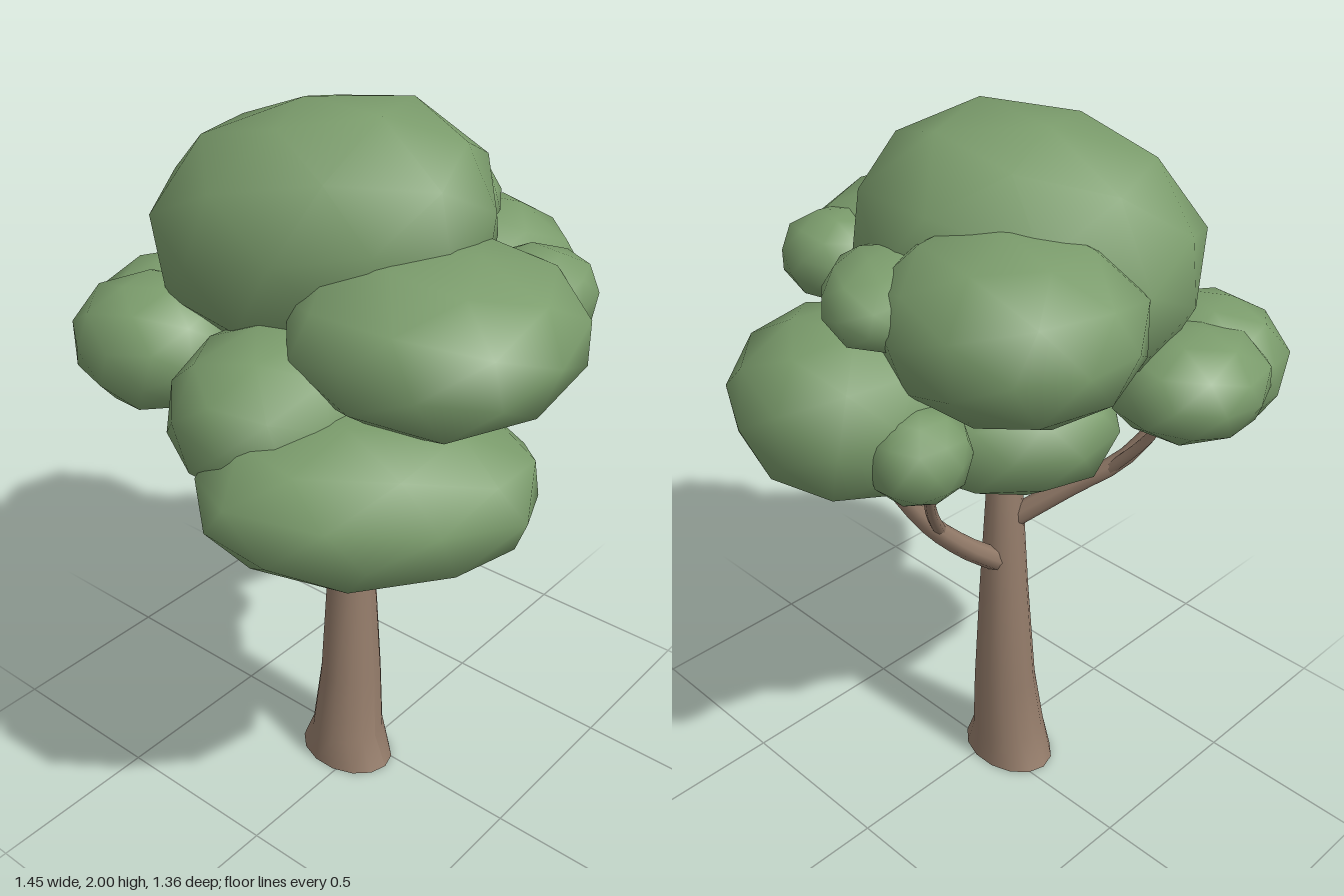
import * as THREE from 'three';
import { mergeVertices } from 'three/addons/utils/BufferGeometryUtils.js';

const leaf = new THREE.MeshStandardMaterial({ name: 'leaf green', color: 0x7b9c6c });
const bark = new THREE.MeshStandardMaterial({ name: 'bark brown', color: 0x947c6a, side: THREE.DoubleSide });

// Trunk rings: y, centre x, radius x, centre z, radius z
const RINGS = [
  [0, -0.046, 0.112, -0.043, 0.15],
  [0.1, -0.044, 0.108, -0.042, 0.107],
  [0.3, -0.026, 0.091, -0.043, 0.09],
  [0.65, -0.007, 0.071, -0.055, 0.068],
  [1.0, -0.012, 0.053, -0.05, 0.044],
  [1.35, -0.02, 0.04, -0.05, 0.035],
];

function makeTrunk() {
  const n = RINGS.length - 1;
  const geo = new THREE.CylinderGeometry(1, 1, n, 14, n, true);
  const p = geo.attributes.position;
  for (let i = 0; i < p.count; i++) {
    const [y, cx, rx, cz, rz] = RINGS[Math.round(p.getY(i) + n / 2)];
    p.setXYZ(i, cx + p.getX(i) * rx, y, cz + p.getZ(i) * rz);
  }
  geo.computeVertexNormals();
  return new THREE.Mesh(geo, bark);
}

// Curved limb that narrows from r0 to r1
function makeBranch(points, r0, r1) {
  const curve = new THREE.CatmullRomCurve3(points.map((q) => new THREE.Vector3(...q)));
  const segs = 10, sides = 8;
  const geo = new THREE.TubeGeometry(curve, segs, 1, sides);
  const p = geo.attributes.position, v = new THREE.Vector3();
  for (let i = 0; i < p.count; i++) {
    const t = Math.floor(i / (sides + 1)) / segs;
    const c = curve.getPointAt(t);
    v.fromBufferAttribute(p, i).sub(c).multiplyScalar(r0 + (r1 - r0) * t).add(c);
    p.setXYZ(i, v.x, v.y, v.z);
  }
  return new THREE.Mesh(geo, bark);
}

// Faceted, softly shaded leaf clump with full shoulders
function makeClump([x, y, z], [rx, ry, rz], turn, pitch = 0, yaw = 0) {
  const ball = new THREE.IcosahedronGeometry(1, 1).rotateX(turn * 0.7).rotateY(turn * 1.3);
  ball.deleteAttribute('normal');
  ball.deleteAttribute('uv');
  const geo = mergeVertices(ball, 1e-3);
  const p = geo.attributes.position, e = 2.35;
  for (let i = 0; i < p.count; i++) {
    const c = [p.getX(i), p.getY(i), p.getZ(i)];
    const k = Math.pow(c.reduce((s, a) => s + Math.abs(a) ** e, 0), -1 / e) * 1.02;
    p.setXYZ(i, c[0] * k * rx, c[1] * k * ry, c[2] * k * rz);
  }
  geo.rotateY(yaw).rotateX(pitch);
  geo.computeVertexNormals();
  const mesh = new THREE.Mesh(geo, leaf);
  mesh.position.set(x, y, z);
  return mesh;
}

const BRANCHES = [
  ['frontRightLimb', [[-0.02, 0.65, -0.02], [-0.12, 0.78, 0.09], [-0.23, 0.92, 0.19], [-0.36, 1.15, 0.3]], 0.036, 0.022],
  ['frontRightTwig', [[-0.19, 0.86, 0.15], [-0.3, 0.95, 0.155], [-0.43, 1.1, 0.15]], 0.016, 0.011],
  ['leftLimb', [[0.02, 0.75, -0.06], [0.14, 0.85, -0.06], [0.28, 1.0, -0.055], [0.47, 1.3, -0.05]], 0.034, 0.02],
  ['leftTwig', [[0.24, 0.96, -0.06], [0.34, 1.1, -0.14], [0.46, 1.32, -0.26]], 0.018, 0.011],
  ['frontLimb', [[-0.015, 0.94, -0.02], [-0.025, 1.05, 0.08], [-0.05, 1.2, 0.2], [-0.1, 1.42, 0.3]], 0.032, 0.018],
  ['frontTwig', [[-0.035, 1.15, 0.16], [0.02, 1.27, 0.25], [0.09, 1.46, 0.36]], 0.016, 0.01],
  ['backRightLimb', [[-0.02, 0.87, -0.06], [-0.12, 1.0, -0.2], [-0.2, 1.1, -0.31], [-0.32, 1.32, -0.42]], 0.032, 0.018],
  ['backRightTwig', [[-0.17, 1.06, -0.28], [-0.19, 1.18, -0.38], [-0.2, 1.34, -0.48]], 0.016, 0.011],
  ['rightLimb', [[-0.02, 0.96, -0.05], [-0.13, 1.1, -0.03], [-0.3, 1.36, 0.02]], 0.028, 0.018],
  ['backLeftLimb', [[-0.01, 0.98, -0.06], [0.05, 1.1, -0.14], [0.18, 1.45, -0.26]], 0.028, 0.018],
  ['topLimb', [[-0.02, 1.25, -0.05], [-0.03, 1.4, -0.06], [-0.04, 1.6, -0.08]], 0.037, 0.025],
];

// Name, centre, radii, turn, pitch, yaw
const CLUMPS = [
  ['topClump', [-0.04, 1.685, -0.1], [0.36, 0.31, 0.43], 0, -0.2, 0.35],
  ['frontClump', [-0.115, 1.54, 0.3], [0.345, 0.195, 0.345], 0.4],
  ['smallFrontClump', [0.15, 1.575, 0.4], [0.145, 0.113, 0.145], 1.1],
  ['lowFrontClump', [-0.36, 1.23, 0.3], [0.4, 0.19, 0.285], 1.9, 0.03, -0.75],
  ['rightClump', [-0.36, 1.355, 0.03], [0.285, 0.195, 0.24], 2.6],
  ['backRightClump', [-0.34, 1.385, -0.42], [0.2, 0.165, 0.22], 0.9],
  ['smallBackClump', [-0.19, 1.41, -0.5], [0.2, 0.13, 0.19], 3.3],
  ['lowCentreClump', [0.13, 1.31, -0.19], [0.225, 0.17, 0.28], 1.5, 0, 0.75],
  ['backLeftClump', [0.235, 1.64, -0.3], [0.28, 0.205, 0.32], 2.2],
  ['upperLeftClump', [0.38, 1.67, -0.04], [0.2, 0.095, 0.14], 0.3, 0, 0.8],
  ['leftClump', [0.467, 1.42, 0.005], [0.262, 0.212, 0.272], 0.6],
  ['smallLeftClump', [0.48, 1.38, -0.26], [0.12, 0.11, 0.11], 1.4],
];

export function createModel() {
  const tree = new THREE.Group();
  tree.name = 'tree';
  const wood = new THREE.Group();
  wood.name = 'wood';
  const crown = new THREE.Group();
  crown.name = 'crown';
  const put = (parent, name, mesh) => { mesh.name = name; parent.add(mesh); };

  put(wood, 'trunk', makeTrunk());
  for (const [name, ...spec] of BRANCHES) put(wood, name, makeBranch(...spec));
  for (const [name, ...spec] of CLUMPS) put(crown, name, makeClump(...spec));

  tree.add(wood, crown);
  return tree;
}
